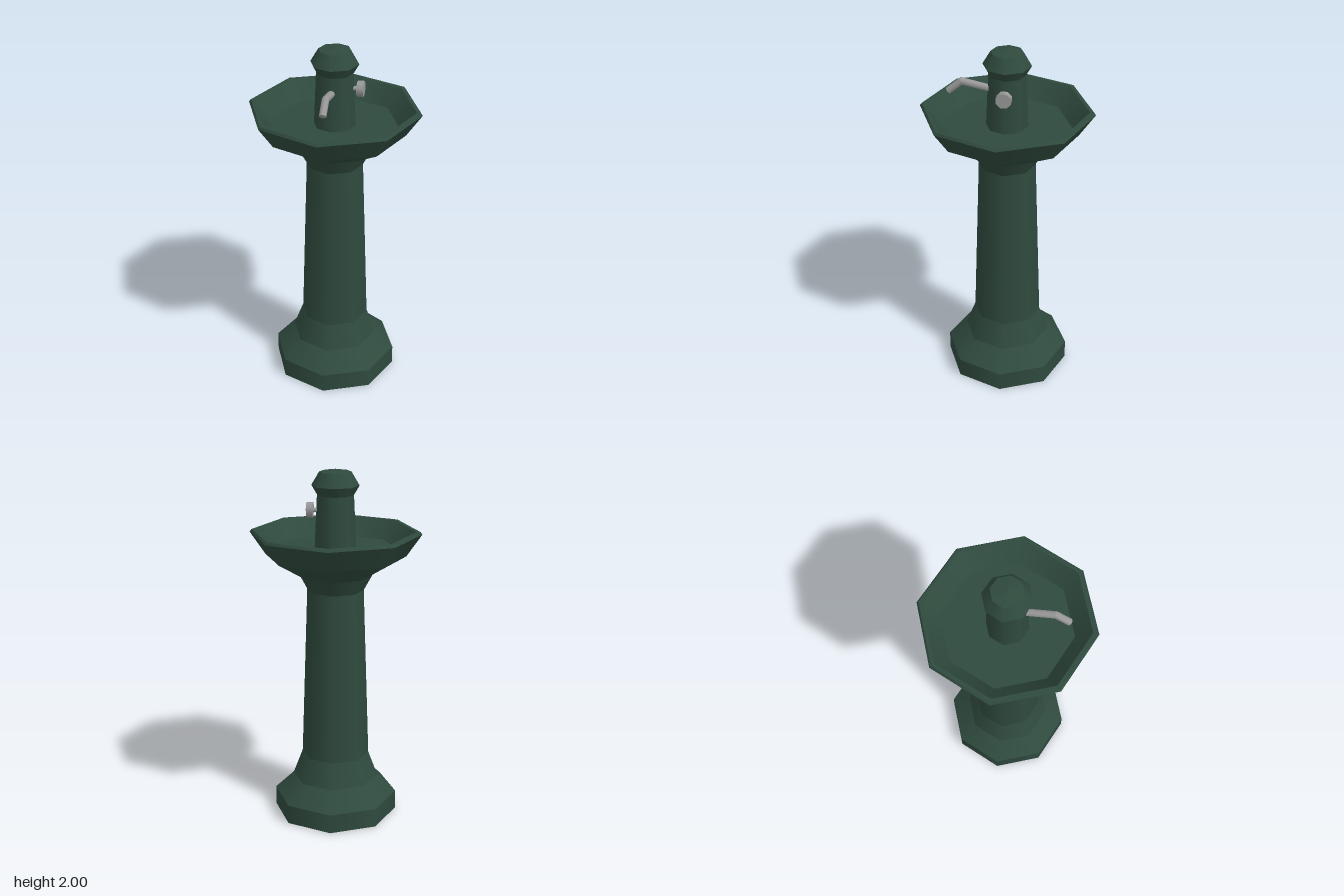
import * as THREE from 'three';
import { mergeGeometries } from 'three/addons/utils/BufferGeometryUtils.js';

const SIDES = 8;

// Eight-sided turned shell; each band is separate so the edges between bands stay crisp.
function turned(name, profile, material) {
  const bands = [];
  for (let i = 0; i < profile.length - 1; i++) {
    const pair = [profile[i], profile[i + 1]].map(([r, y]) => new THREE.Vector2(r, y));
    bands.push(new THREE.LatheGeometry(pair, SIDES));
  }
  const mesh = new THREE.Mesh(mergeGeometries(bands), material);
  mesh.name = name;
  return mesh;
}

// Straight round bar between two points.
function bar(name, from, to, radius, material) {
  const a = new THREE.Vector3(...from);
  const dir = new THREE.Vector3(...to).sub(a);
  const mesh = new THREE.Mesh(new THREE.CylinderGeometry(radius, radius, dir.length(), SIDES), material);
  mesh.position.copy(a).addScaledVector(dir, 0.5);
  mesh.quaternion.setFromUnitVectors(new THREE.Vector3(0, 1, 0), dir.normalize());
  mesh.name = name;
  return mesh;
}

export function createModel() {
  const green = new THREE.MeshStandardMaterial({ color: 0x2f4a3e, side: THREE.DoubleSide });
  green.name = 'darkGreenPaint';
  const metal = new THREE.MeshStandardMaterial({ color: 0x999999 });
  metal.name = 'greyMetal';

  const model = new THREE.Group();
  model.name = 'drinkingFountain';

  // Hollow foot, open underneath, and the tapering column
  model.add(turned('foot', [[0.353, 0], [0.353, 0.11], [0.245, 0.213], [0.192, 0.355]], green));
  model.add(turned('column', [[0.192, 0.355], [0.158, 1.33]], green));

  // Basin: flared underside, rim, inner wall and floor
  model.add(turned('basin', [
    [0.158, 1.33], [0.206, 1.418], [0.39, 1.525], [0.475, 1.648],
    [0.465, 1.662], [0.443, 1.662], [0.355, 1.56], [0.1, 1.56],
  ], green));

  // Post with its bevelled cap
  model.add(turned('post', [[0.115, 1.56], [0.101, 1.86]], green));
  model.add(turned('cap', [[0.101, 1.86], [0.131, 1.912], [0.088, 1.985], [0, 2]], green));

  // Bent spout
  const spout = new THREE.Group();
  spout.name = 'spout';
  const bend = [0, 1.805, 0.245];
  spout.add(bar('spoutArm', [0, 1.772, 0.09], bend, 0.02, metal));
  spout.add(bar('spoutTip', bend, [0, 1.745, 0.317], 0.02, metal));
  const elbow = new THREE.Mesh(new THREE.SphereGeometry(0.02, SIDES, 6), metal);
  elbow.name = 'spoutElbow';
  elbow.position.set(...bend);
  spout.add(elbow);
  model.add(spout);

  // Push button on the side of the post
  const button = new THREE.Mesh(
    new THREE.CylinderGeometry(0.043, 0.043, 0.036, SIDES, 1, false, Math.PI / 8), metal);
  button.name = 'pushButton';
  button.rotation.z = -Math.PI / 2;
  button.position.set(0.14, 1.775, 0);
  model.add(button);
  model.add(bar('buttonStem', [0.08, 1.775, 0], [0.13, 1.775, 0], 0.012, metal));

  return model;
}
